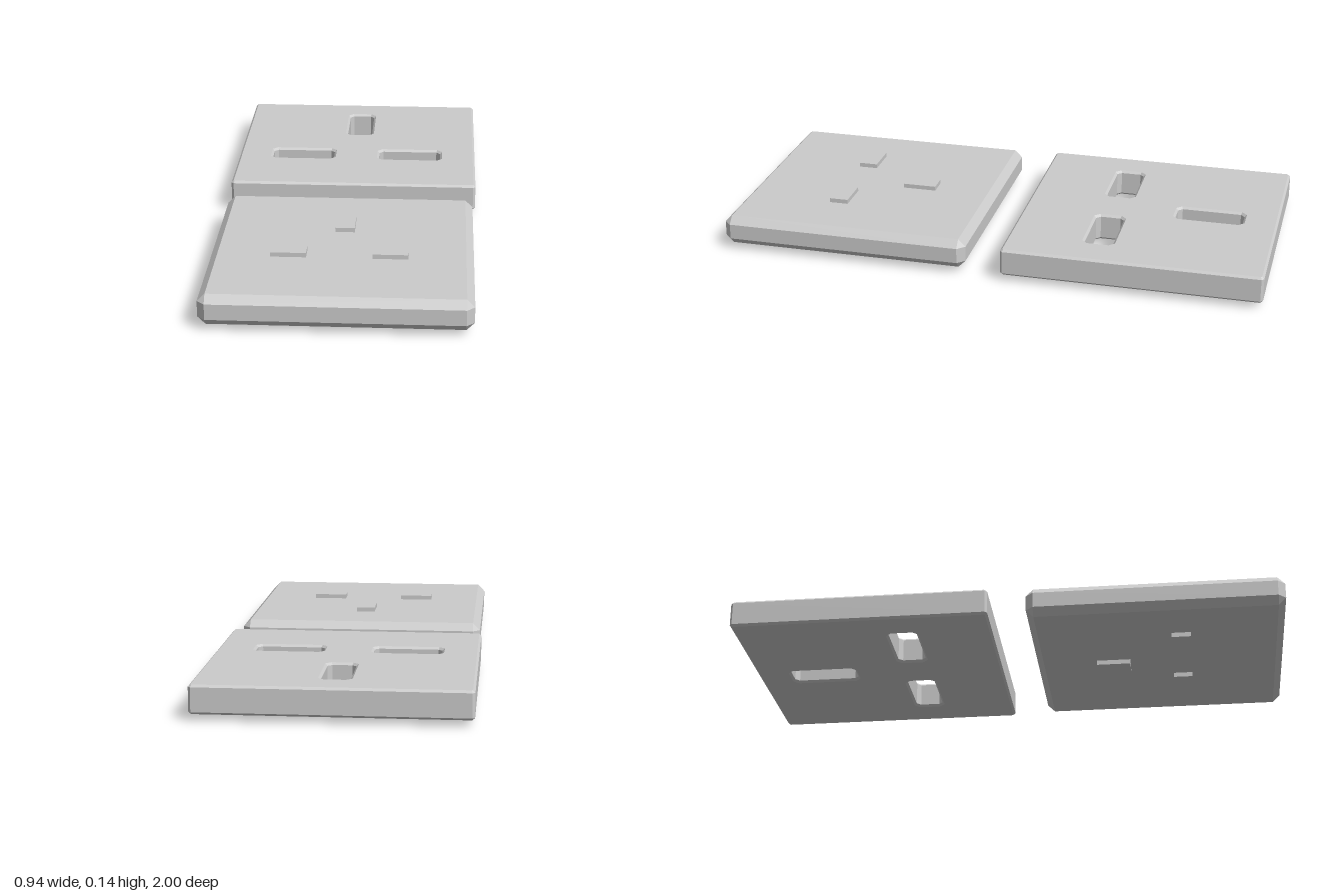
import * as THREE from 'three';
import { ConvexGeometry } from 'three/addons/geometries/ConvexGeometry.js';

const material = new THREE.MeshStandardMaterial({ color: 0xcccccc, flatShading: true });

// Rectangle with its four corners cut off by c
function cutRect(path, x0, x1, z0, z1, c) {
  path.moveTo(x0 + c, z0);
  path.lineTo(x1 - c, z0);
  path.lineTo(x1, z0 + c);
  path.lineTo(x1, z1 - c);
  path.lineTo(x1 - c, z1);
  path.lineTo(x0 + c, z1);
  path.lineTo(x0, z1 - c);
  path.lineTo(x0, z0 + c);
  path.closePath();
  return path;
}

// Box with every edge chamfered by c
function chamferBox(w, h, d, c) {
  const half = [w / 2, h / 2, d / 2];
  const points = [];
  for (const sx of [-1, 1]) for (const sy of [-1, 1]) for (const sz of [-1, 1]) {
    for (let axis = 0; axis < 3; axis++) {
      const p = half.map((v, i) => (i === axis ? v : v - c));
      points.push(new THREE.Vector3(p[0] * sx, p[1] * sy, p[2] * sz));
    }
  }
  return new ConvexGeometry(points);
}

function add(parent, name, geometry, x = 0, y = 0, z = 0) {
  const mesh = new THREE.Mesh(geometry, material);
  mesh.name = name;
  mesh.position.set(x, y, z);
  parent.add(mesh);
  return mesh;
}

export function createModel() {
  const model = new THREE.Group();
  model.name = 'plugAndSocket';

  // Socket plate with three bevelled through slots
  const socket = new THREE.Group();
  socket.name = 'socket';
  model.add(socket);
  const bevel = 0.008, top = 0.122, bottom = 0.022;
  const outline = cutRect(new THREE.Shape(), -0.462, 0.462, -0.992, -0.068, 0.004);
  const slots = [
    [-0.345, -0.085, -0.45, -0.33],
    [0.08, 0.34, -0.45, -0.33],
    [-0.06, 0.056, -0.88, -0.615],
  ];
  for (const s of slots) outline.holes.push(cutRect(new THREE.Path(), ...s, 0.02));
  const plate = new THREE.ExtrudeGeometry(outline, {
    depth: top - bottom - 2 * bevel, bevelEnabled: true,
    bevelThickness: bevel, bevelSize: bevel, bevelSegments: 1,
  });
  plate.rotateX(Math.PI / 2);
  add(socket, 'socketPlate', plate, 0, top - bevel, 0);

  // Plug body with chamfered edges
  const plug = new THREE.Group();
  plug.name = 'plug';
  model.add(plug);
  add(plug, 'plugBody', chamferBox(0.918, 0.11, 0.924, 0.027), -0.002, 0.072, 0.538);

  // Three pins passing through the body, showing above and below
  const pins = [
    ['rightPin', -0.186, 0.625, 0.125, 0.07],
    ['leftPin', 0.168, 0.625, 0.125, 0.07],
    ['earthPin', -0.002, 0.367, 0.07, 0.125],
  ];
  for (const [name, x, z, w, d] of pins) {
    add(plug, name, new THREE.BoxGeometry(w, 0.143, d), x, 0.0715, z);
  }
  return model;
}
